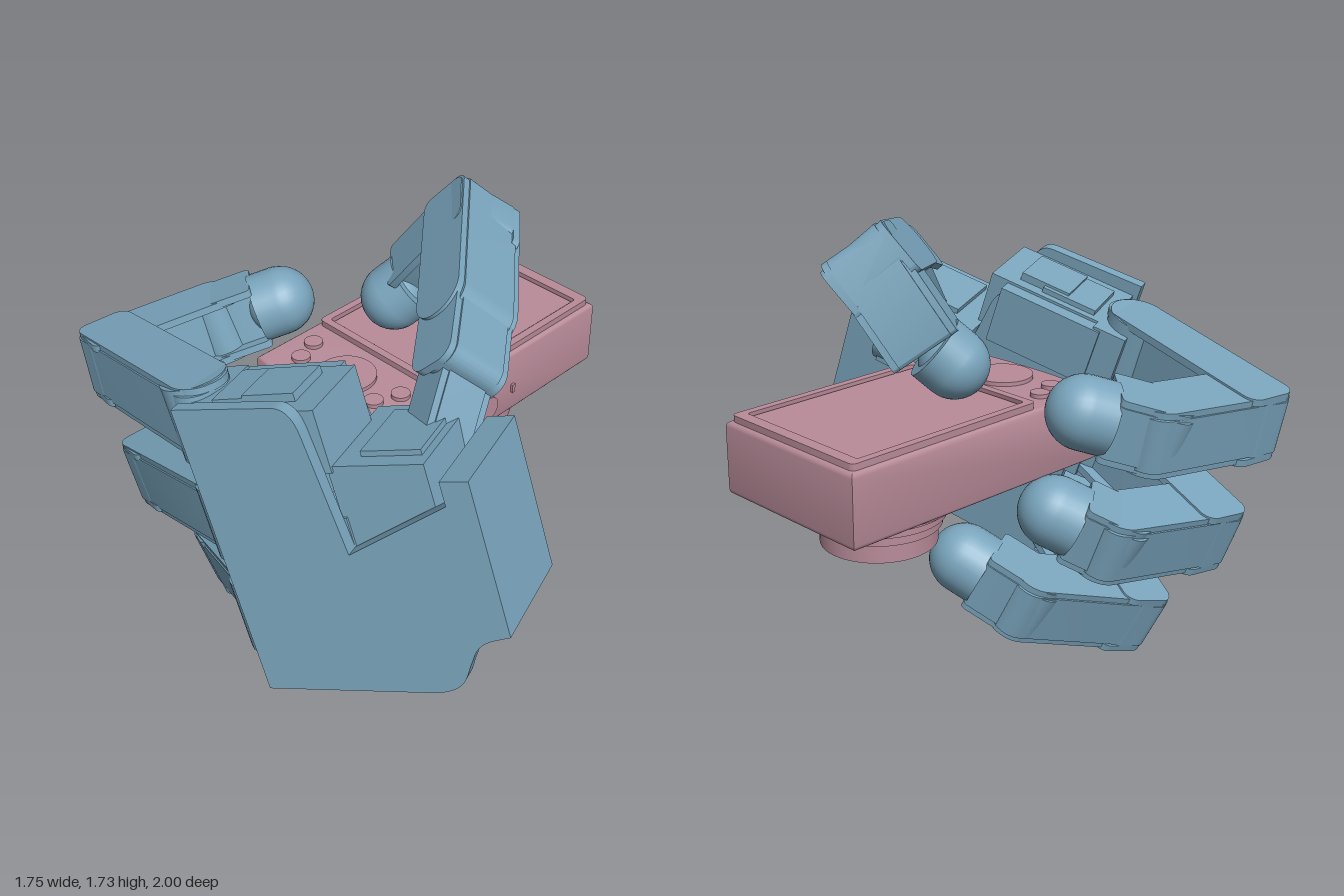
import * as THREE from 'three';
import { toCreasedNormals } from 'three/addons/utils/BufferGeometryUtils.js';
import { RoundedBoxGeometry } from 'three/addons/geometries/RoundedBoxGeometry.js';

const V = (x, y, z) => new THREE.Vector3(x, y, z);
const blue = new THREE.MeshStandardMaterial({ color: 0x7aa5bd });
const pink = new THREE.MeshStandardMaterial({ color: 0xb98c9a });

function add(parent, name, geo, mat, x = 0, y = 0, z = 0) {
  const m = new THREE.Mesh(geo, mat);
  m.name = name;
  m.position.set(x, y, z);
  parent.add(m);
  return m;
}

// Group whose own axes are the given directions
function frame(name, origin, ux, uy, uz) {
  const g = new THREE.Group();
  g.name = name;
  g.quaternion.setFromRotationMatrix(new THREE.Matrix4().makeBasis(ux, uy, uz));
  g.position.copy(origin);
  return g;
}

// Extrusion centred on its depth, with crisp edges
function slab(shape, depth) {
  const geo = new THREE.ExtrudeGeometry(shape, { depth, bevelEnabled: false, curveSegments: 10 });
  geo.translate(0, 0, -depth / 2);
  return toCreasedNormals(geo, 0.6);
}

// Rectangle with one corner radius at each end
function bar(x0, x1, y0, y1, r0, r1) {
  const s = new THREE.Shape();
  s.moveTo(x0 + r0, y0);
  s.lineTo(x1 - r1, y0);
  s.absarc(x1 - r1, y0 + r1, r1, -Math.PI / 2, 0);
  s.lineTo(x1, y1 - r1);
  s.absarc(x1 - r1, y1 - r1, r1, 0, Math.PI / 2);
  s.lineTo(x0 + r0, y1);
  s.absarc(x0 + r0, y1 - r0, r0, Math.PI / 2, Math.PI);
  s.lineTo(x0, y0 + r0);
  s.absarc(x0 + r0, y0 + r0, r0, Math.PI, Math.PI * 1.5);
  return s;
}

// One finger segment: recessed core, two cheeks, hinge barrel at its start
function link(parent, name, a, b, axis, th, w, r0, r1, ext0 = th / 2, ext1 = th / 2) {
  const u = b.clone().sub(a), L = u.length();
  u.normalize();
  const v = axis.clone().cross(u).normalize();
  const g = frame(name, a, u, v, u.clone().cross(v));
  const h = th / 2;
  add(g, 'core', slab(bar(-ext0, L + ext1, -h, h - 0.045, Math.min(r0, h - 0.03), Math.min(r1, h - 0.03)), w - 0.05), blue);
  for (const s of [-1, 1])
    add(g, 'cheek', slab(bar(-ext0, L + ext1, -h + 0.006, h, r0, r1), 0.028), blue, 0, 0, s * (w / 2 - 0.014));
  const barrel = new THREE.CylinderGeometry(h * 0.88, h * 0.88, w - 0.03, 28);
  barrel.rotateX(Math.PI / 2);
  add(g, 'hingeBarrel', barrel, blue);
  parent.add(g);
}

// Domed tip on a short round stub
function fingertip(parent, from, tip, r) {
  const dir = tip.clone().sub(from).normalize();
  const g = new THREE.Group();
  g.name = 'fingertip';
  g.position.copy(tip);
  g.quaternion.setFromUnitVectors(V(0, 1, 0), dir);
  add(g, 'dome', new THREE.SphereGeometry(r, 32, 20), blue);
  add(g, 'stub', new THREE.CylinderGeometry(r, r, 0.09, 32), blue, 0, -0.045, 0);
  parent.add(g);
}

function finger(parent, name, p) {
  const g = new THREE.Group();
  g.name = name;
  const w = 0.27;
  const axis = p[1].clone().sub(p[0]).cross(p[2].clone().sub(p[1])).normalize();
  link(g, 'proximalSegment', p[0], p[1], axis, 0.22, w, 0.1, 0.05);
  link(g, 'middleSegment', p[1], p[2], axis, 0.22, w - 0.015, 0.05, 0.1);
  link(g, 'distalSegment', p[2], p[3], axis, 0.21, w - 0.02, 0.09, 0.02, 0.1, -0.08);
  fingertip(g, p[2], p[3], 0.132);
  parent.add(g);
}

// Palm side outline: forward distance, height
function palmOutline(notch, top, end) {
  const s = new THREE.Shape();
  s.moveTo(0, 0);
  s.lineTo(0.08, -0.08);
  s.lineTo(0.5, notch);
  s.lineTo(0.54, top - 0.1);
  s.quadraticCurveTo(0.55, top, 0.62, top);
  s.lineTo(end, top + 0.01);
  s.lineTo(end, -0.84);
  s.lineTo(0.34, -0.82);
  s.bezierCurveTo(0.2, -0.81, 0.2, -0.74, 0.16, -0.68);
  s.bezierCurveTo(0.12, -0.6, 0.08, -0.6, 0, -0.58);
  return s;
}

function buildPalm() {
  const n = V(0.93, -0.1, -0.36).normalize();
  const s = V(-0.03, 0.94, -0.33);
  s.addScaledVector(n, -s.dot(n)).normalize();
  const palm = frame('palm', V(-0.5, 1.34, 0.81), n, s, n.clone().cross(s));
  const plate = (name, x, d, shape) => {
    const geo = slab(shape, d);
    geo.rotateY(Math.PI / 2);
    add(palm, name, geo, blue, x, 0, 0);
  };
  // Boxes given by ranges: depth, height, forward distance
  const box = (name, x0, x1, y0, y1, t0, t1) =>
    add(palm, name, new THREE.BoxGeometry(x1 - x0, y1 - y0, t1 - t0), blue,
      (x0 + x1) / 2, (y0 + y1) / 2, -(t0 + t1) / 2);
  plate('backPlate', 0.025, 0.05, palmOutline(-0.27, 0.28, 1));
  plate('innerPlate', 0.395, 0.05, palmOutline(-0.12, 0.22, 1.03));
  box('wristBlock', 0, 0.42, -0.58, 0, 0, 0.1);
  box('innerWall', 0.05, 0.37, -0.62, -0.3, 0.1, 0.6);
  // Motor housing and knuckle behind each finger
  for (const y of [0.14, -0.26, -0.66]) {
    box('fingerMotor', 0.05, 0.37, y - 0.13, y + 0.1, 0.5, 0.98);
    box('motorCap', 0.12, 0.32, y - 0.16, y + 0.13, 0.6, 0.8);
    box('knuckleMount', 0.14, 0.42, y - 0.13, y + 0.1, 0.95, 1.08);
    add(palm, 'knuckle', new THREE.CylinderGeometry(0.12, 0.12, 0.29, 28), blue, 0.27, y, -1.08);
  }
  // Rim below the lowest knuckle
  box('lowerKnuckleRim', 0.2, 0.42, -0.87, -0.8, 0.9, 1.13);
  box('indexHousing', 0.05, 0.43, 0.0, 0.23, 0.57, 0.98);
  box('indexHousingStep', 0.12, 0.34, 0.2, 0.26, 0.7, 0.92);
  // Thumb base in the notch, with its rounded motor
  box('thumbBase', 0.06, 0.47, -0.28, 0.03, 0.17, 0.52);
  box('thumbBaseCap', 0.12, 0.4, 0.0, 0.05, 0.2, 0.42);
  const motor = new THREE.CylinderGeometry(0.1, 0.1, 0.38, 28);
  motor.rotateX(Math.PI / 2);
  add(palm, 'thumbMotor', motor, blue, 0.39, -0.2, -0.34);
  return palm;
}

function buildThumb() {
  const g = new THREE.Group();
  g.name = 'thumb';
  const p = [V(-0.24, 1.2, 0.46), V(-0.11, 1.395, 0.42), V(0.06, 1.46, 0.29), V(0.36, 1.54, 0.03), V(0.29, 1.33, -0.11), V(0.2, 1.22, -0.2)];
  const axis = p[3].clone().sub(p[1]).cross(p[5].clone().sub(p[3])).normalize();
  link(g, 'mountSegment', p[0], p[1], axis, 0.16, 0.2, 0.05, 0.07, 0.08, 0.06);
  link(g, 'baseSegment', p[1], p[2], axis, 0.2, 0.25, 0.06, 0.09, 0.09, 0.08);
  link(g, 'longSegment', p[2], p[3], axis, 0.22, 0.27, 0.1, 0.04);
  link(g, 'distalSegment', p[3], p[4], axis, 0.22, 0.26, 0.04, 0.02, 0.11, 0.07);
  fingertip(g, p[4], p[5], 0.125);
  return g;
}

function buildCamera() {
  const cam = new THREE.Group();
  cam.name = 'camera';
  // Body with a slightly bowed left end
  const e = 0.02, s = new THREE.Shape();
  s.moveTo(-0.28 + e, -0.22 + e);
  s.lineTo(0.87 - e, -0.22 + e);
  s.lineTo(0.87 - e, 0.44 - e);
  s.lineTo(-0.28 + e, 0.44 - e);
  s.quadraticCurveTo(-0.32 + e, 0.11, -0.28 + e, -0.22 + e);
  const body = new THREE.ExtrudeGeometry(s, { depth: 0.27 - 2 * e, bevelSize: e, bevelThickness: e, bevelSegments: 4, curveSegments: 16 });
  body.rotateX(-Math.PI / 2);
  add(cam, 'body', toCreasedNormals(body, 0.7), pink, 0, 0.8 + e, 0);
  // Screen with a raised rim
  const rim = bar(0.025, 0.855, -0.205, 0.425, 0.02, 0.02);
  rim.holes.push(bar(0.055, 0.81, -0.175, 0.395, 0.01, 0.01));
  const rimGeo = slab(rim, 0.03);
  rimGeo.rotateX(-Math.PI / 2);
  add(cam, 'screenRim', rimGeo, pink, 0, 1.078, 0);
  add(cam, 'screen', new THREE.BoxGeometry(0.735, 0.02, 0.55), pink, 0.4325, 1.073, -0.11);
  // Controls beside the screen
  const disc = (name, r, h, x, y, z) => add(cam, name, new THREE.CylinderGeometry(r, r, h, 36), pink, x, y, z);
  disc('controlDial', 0.11, 0.03, -0.135, 1.07, -0.11);
  for (const [x, z] of [[-0.175, -0.31], [-0.08, -0.345], [-0.175, 0.07], [-0.08, 0.11]])
    disc('button', 0.035, 0.03, x, 1.07, z);
  // Controls on the narrow side
  disc('zoomRing', 0.102, 0.04, -0.01, 0.885, 0.222).rotation.x = Math.PI / 2;
  disc('zoomCap', 0.078, 0.05, -0.01, 0.885, 0.23).rotation.x = Math.PI / 2;
  disc('shutterButton', 0.048, 0.02, 0.27, 0.885, 0.22).rotation.x = Math.PI / 2;
  add(cam, 'slot', new THREE.BoxGeometry(0.015, 0.035, 0.02), pink, 0.405, 0.91, 0.22);
  add(cam, 'sideSwitch', new RoundedBoxGeometry(0.08, 0.025, 0.03, 2, 0.008), pink, -0.18, 1.0, 0.22);
  // Grip strip and flash window on the underside
  add(cam, 'gripStrip', new RoundedBoxGeometry(0.035, 0.04, 0.4, 3, 0.01), pink, 0.11, 0.8, 0);
  add(cam, 'flashWindow', new THREE.BoxGeometry(0.24, 0.02, 0.1), pink, 0.7, 0.795, 0.13);
  // Stepped lens pointing down, with a small recess at the end
  const pts = [[0, 0.645], [0.09, 0.645], [0.1, 0.62], [0.208, 0.62], [0.208, 0.69], [0.225, 0.69], [0.225, 0.725],
    [0.24, 0.725], [0.24, 0.755], [0.255, 0.755], [0.255, 0.78], [0.29, 0.78], [0.29, 0.81]];
  const lens = new THREE.LatheGeometry(pts.map(([r, y]) => new THREE.Vector2(r, y)), 48);
  add(cam, 'lens', toCreasedNormals(lens, 0.6), pink, 0.48, 0, -0.11);
  for (const sz of [-1, 1])
    add(cam, 'lensShutter', new THREE.BoxGeometry(0.12, 0.02, 0.03), pink, 0.48, 0.64, -0.11 + sz * 0.055);
  return cam;
}

export function createModel() {
  const model = new THREE.Group();
  model.name = 'robotHandHoldingCamera';
  model.add(buildCamera(), buildPalm(), buildThumb());
  finger(model, 'indexFinger', [V(-0.66, 1.12, -0.28), V(-0.59, 1.0, -0.86), V(-0.2, 1.02, -0.77), V(0, 1.1, -0.62)]);
  finger(model, 'middleFinger', [V(-0.64, 0.74, -0.15), V(-0.55, 0.54, -0.72), V(-0.15, 0.59, -0.64), V(-0.01, 0.69, -0.49)]);
  finger(model, 'lowerFinger', [V(-0.6, 0.36, -0.01), V(-0.42, 0.17, -0.49), V(-0.03, 0.29, -0.35), V(0.09, 0.42, -0.14)]);
  return model;
}
